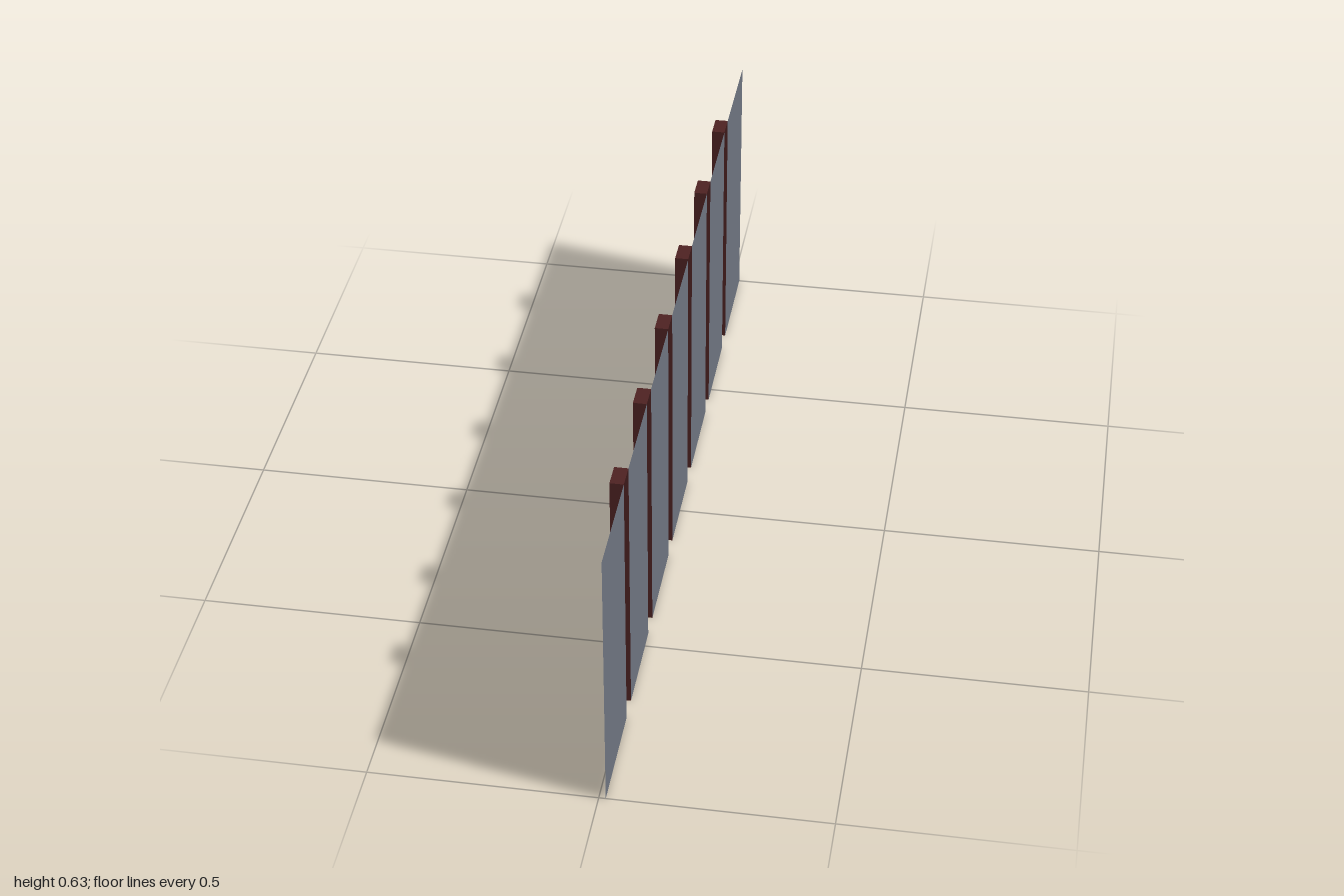
import * as THREE from 'three';

const HEIGHT = 0.634, LENGTH = 2, POSTS = 6;
const POST_W = 0.056, POST_D = 0.03; // along z, along x
const PITCH = LENGTH / (POSTS + 1);

export function createModel() {
  const group = new THREE.Group();
  const panelMat = new THREE.MeshStandardMaterial({ color: 0x6d737f, side: THREE.DoubleSide });
  const postMat = new THREE.MeshStandardMaterial({ color: 0x4d2222, side: THREE.DoubleSide });

  // Adds a flat sheet to a parent
  const sheet = (parent, name, mat, w, h, pos, rx = 0, ry = 0) => {
    const mesh = new THREE.Mesh(new THREE.PlaneGeometry(w, h), mat);
    mesh.name = name;
    mesh.position.set(...pos);
    mesh.rotation.set(rx, ry, 0);
    parent.add(mesh);
  };

  // Thin wall panels filling the bays, flush with the +x side
  for (let i = 0; i <= POSTS; i++) {
    const z0 = -LENGTH / 2 + i * PITCH + (i > 0 ? POST_W / 2 : 0);
    const z1 = -LENGTH / 2 + (i + 1) * PITCH - (i < POSTS ? POST_W / 2 : 0);
    sheet(group, 'wallPanel', panelMat, z1 - z0, HEIGHT, [POST_D / 2, HEIGHT / 2, (z0 + z1) / 2], 0, Math.PI / 2);
  }

  // Hollow posts: channels open towards +x and below, capped on top
  for (let i = 1; i <= POSTS; i++) {
    const post = new THREE.Group();
    post.name = 'post';
    post.position.z = -LENGTH / 2 + i * PITCH;
    sheet(post, 'postFace', postMat, POST_W, HEIGHT, [-POST_D / 2, HEIGHT / 2, 0], 0, -Math.PI / 2);
    sheet(post, 'postFrontSide', postMat, POST_D, HEIGHT, [0, HEIGHT / 2, POST_W / 2]);
    sheet(post, 'postBackSide', postMat, POST_D, HEIGHT, [0, HEIGHT / 2, -POST_W / 2], 0, Math.PI);
    sheet(post, 'postCap', postMat, POST_D, POST_W, [0, HEIGHT, 0], -Math.PI / 2);
    group.add(post);
  }
  return group;
}
